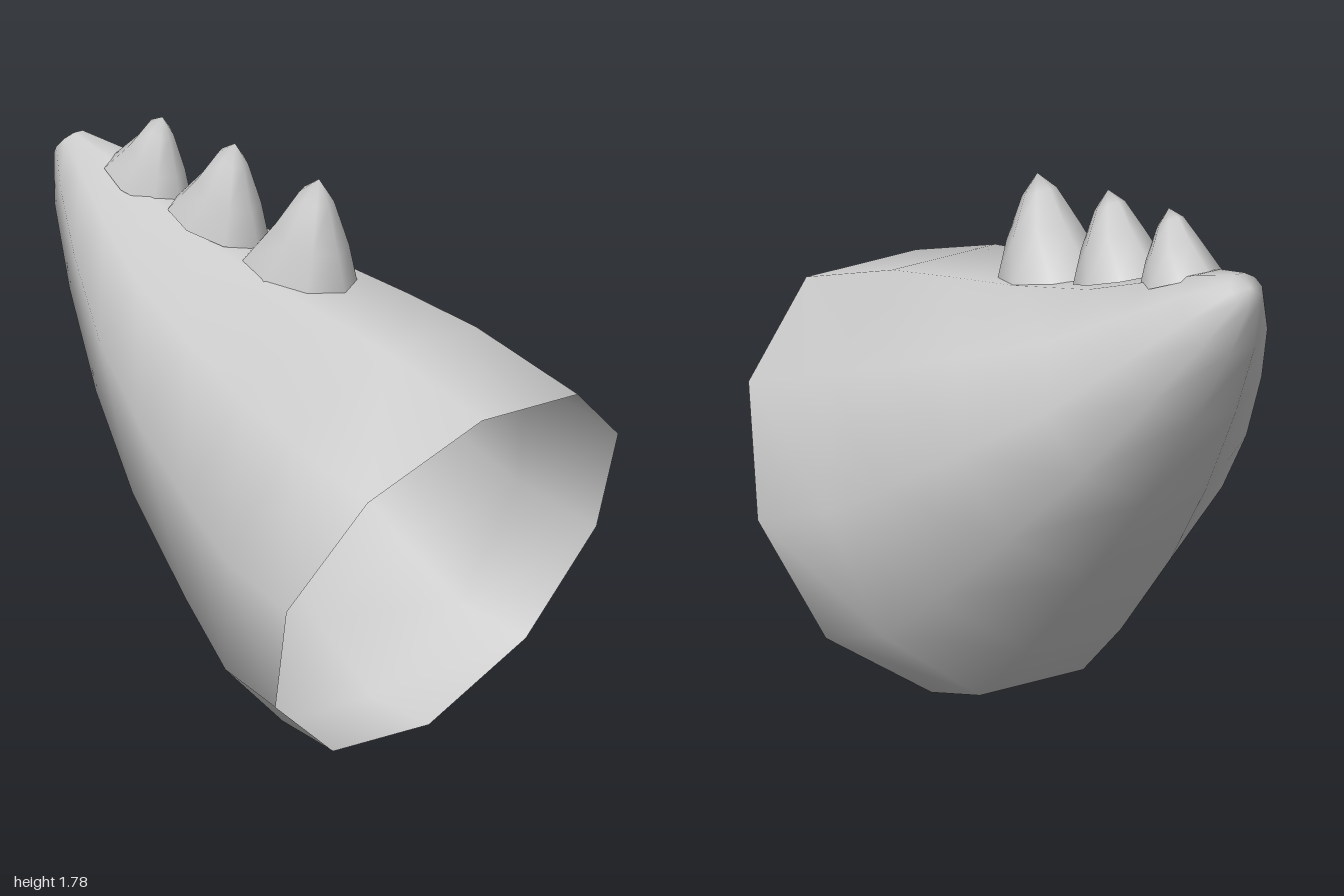
import * as THREE from 'three';

const material = new THREE.MeshStandardMaterial({ color: 0xcccccc, side: THREE.DoubleSide });

// Skin a stack of tilted oval rings and close the far end with a tip point.
// Ring: [z, y of one end, z, y of the opposite end, half width, centre x, bow in z at the sides]
function loft(name, rings, tip, sides) {
  const pos = [], index = [];
  const peak = Math.sin(Math.round(sides / 4) * 2 * Math.PI / sides);
  for (const [z1, y1, z2, y2, half, cx = 0, bow = 0] of rings) {
    for (let j = 0; j < sides; j++) {
      const a = j / sides * Math.PI * 2;
      const t = (1 + Math.sin(a) / peak) / 2;
      pos.push(cx + half * Math.cos(a),
        THREE.MathUtils.lerp(y2, y1, t),
        THREE.MathUtils.lerp(z2, z1, t) - bow * Math.cos(a) ** 2);
    }
  }
  pos.push(...tip);
  const last = rings.length - 1, tipIndex = rings.length * sides;
  for (let r = 0; r <= last; r++) {
    for (let j = 0; j < sides; j++) {
      const k = (j + 1) % sides, a = r * sides + j, b = r * sides + k;
      if (r === last) index.push(a, tipIndex, b);
      else index.push(a, a + sides, b, b, a + sides, b + sides);
    }
  }
  const geometry = new THREE.BufferGeometry();
  geometry.setAttribute('position', new THREE.Float32BufferAttribute(pos, 3));
  geometry.setIndex(index);
  geometry.computeVertexNormals();
  const mesh = new THREE.Mesh(geometry, material);
  mesh.name = name;
  return mesh;
}

// Blunt spike: front foot at (z, y), scaled, with its rear raised by the lean
function spike(name, z, y, scale, lean) {
  const place = (dz, dy) => [z + dz * scale, y + (dy - dz * lean) * scale];
  const rings = [
    [0, 0, -0.39, 0.08, 0.158],
    [-0.03, 0.12, -0.25, 0.22, 0.115],
    [-0.07, 0.27, -0.175, 0.315, 0.055],
  ].map(([z1, y1, z2, y2, half]) => [...place(z1, y1), ...place(z2, y2), half * scale, 0.015]);
  const [tz, ty] = place(-0.112, 0.35);
  return loft(name, rings, [0.015, ty, tz], 8);
}

export function createModel() {
  const group = new THREE.Group();
  group.name = 'spikedTail';

  // Hollow tapering tail, open at the front: top edge, bottom edge, half width
  group.add(loft('tailShell', [
    [1.00, 1.165, 0.37, 0.00, 0.68, 0, 0.065],
    [0.58, 1.30, 0.14, 0.05, 0.64, 0, 0.03],
    [0.29, 1.355, -0.09, 0.25, 0.585, 0.01],
    [0.00, 1.405, -0.38, 0.56, 0.51, 0.02],
    [-0.33, 1.475, -0.61, 0.86, 0.39, 0.02],
    [-0.58, 1.56, -0.81, 1.17, 0.265, 0.02],
    [-0.78, 1.63, -0.95, 1.42, 0.15, 0.02],
    [-0.93, 1.665, -1.00, 1.58, 0.06, 0.015],
  ], [0.015, 1.635, -0.985], 10));

  // Row of spikes along the ridge, shrinking toward the tip
  group.add(spike('frontSpike', 0.20, 1.36, 1, 0));
  group.add(spike('middleSpike', -0.17, 1.44, 0.87, 0.1));
  group.add(spike('rearSpike', -0.49, 1.50, 0.75, 0.2));
  return group;
}
